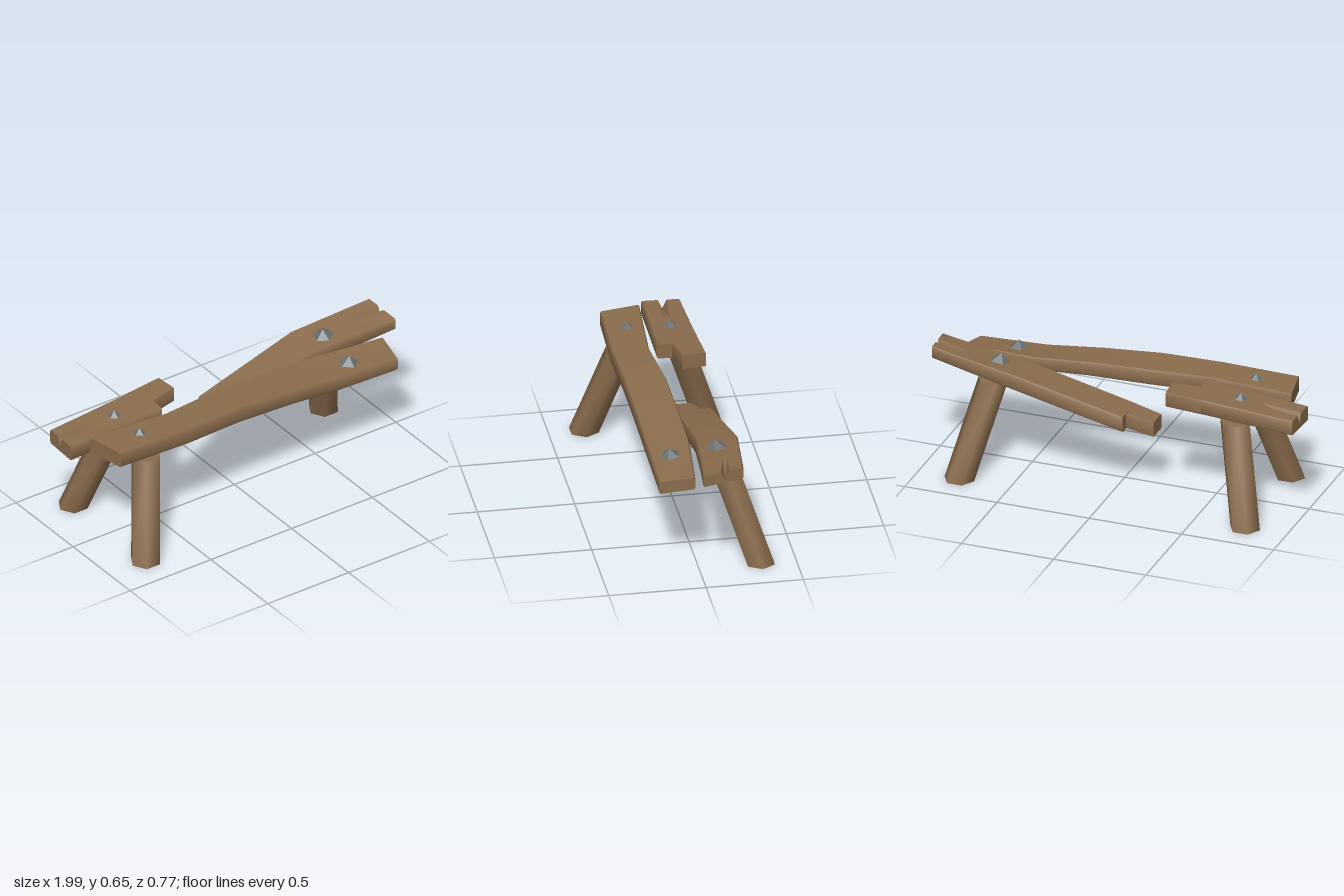
import * as THREE from 'three';
import { toCreasedNormals } from 'three/addons/utils/BufferGeometryUtils.js';

const wood = new THREE.MeshStandardMaterial({ color: 0x8b6d4d });
wood.name = 'weathered wood';
const iron = new THREE.MeshStandardMaterial({ color: 0x697072 });
iron.name = 'grey iron';

// Plank lofted along x. Each station: [xBack, xFront, zBack, zFront, bottomBack, bottomFront, height, crackDepth]
function plank(name, stations) {
  // Cross-section: across (0 back, 1 front), up (0..1), share of crack depth
  const section = [
    [0.46, 0, 0], [0.03, 0, 0], [0, 0.15, 0], [0, 0.85, 0], [0.03, 1, 0], [0.35, 1, 0],
    [0.46, 1, 1], [0.57, 1, 0], [0.97, 1, 0], [1, 0.85, 0], [1, 0.15, 0], [0.97, 0, 0],
  ];
  const n = section.length, last = stations.length - 1;
  const pos = [], index = [];
  const mix = THREE.MathUtils.lerp;
  for (const [xb, xf, zb, zf, yb, yf, h, crack = 0] of stations) {
    for (const [t, s, c] of section) {
      pos.push(mix(xb, xf, t), mix(yb, yf, t) + s * h - c * crack, mix(zb, zf, t));
    }
  }
  for (let k = 0; k < last; k++) {
    for (let i = 0; i < n; i++) {
      const j = (i + 1) % n;
      const a = k * n + i, d = k * n + j, b = a + n, c = d + n;
      index.push(a, d, c, a, c, b);
    }
  }
  // End caps
  for (let i = 1; i < n - 1; i++) {
    index.push(0, i + 1, i);
    index.push(last * n, last * n + i, last * n + i + 1);
  }
  const g = new THREE.BufferGeometry();
  g.setAttribute('position', new THREE.Float32BufferAttribute(pos, 3));
  g.setIndex(index);
  const mesh = new THREE.Mesh(toCreasedNormals(g, 0.9), wood);
  mesh.name = name;
  return mesh;
}

// Six-sided leg, sheared outward so that both ends stay level
function leg(name, sx, sz) {
  const height = 0.51;
  const g = new THREE.CylinderGeometry(0.08, 0.08, height, 6, 1, false, Math.PI / 2);
  g.translate(0, height / 2, 0);
  const p = g.attributes.position;
  for (let i = 0; i < p.count; i++) {
    const t = p.getY(i) / height;
    p.setX(i, p.getX(i) + sx * (0.775 - 0.12 * t));
    p.setZ(i, p.getZ(i) + sz * (0.317 - 0.167 * t));
  }
  const mesh = new THREE.Mesh(toCreasedNormals(g, 1.1), wood);
  mesh.name = name;
  return mesh;
}

// Five-sided pointed nail head
function nail(name, x, y, z, r, h, tiltX = 0, tiltZ = 0) {
  const g = new THREE.ConeGeometry(r, h + 0.015, 5).toNonIndexed();
  g.computeVertexNormals();
  g.translate(0, (h - 0.015) / 2, 0);
  const mesh = new THREE.Mesh(g, iron);
  mesh.name = name;
  mesh.position.set(x, y, z);
  mesh.rotation.set(tiltX, 0, tiltZ);
  return mesh;
}

export function createModel() {
  const model = new THREE.Group();
  model.name = 'brokenBench';

  // Whole, sagging front plank
  model.add(plank('frontPlank', [
    [-0.9, -0.86, 0.01, 0.22, 0.542, 0.542, 0.083],
    [-0.45, -0.45, 0.04, 0.235, 0.54, 0.54, 0.084],
    [-0.12, -0.12, 0.01, 0.225, 0.54, 0.54, 0.083],
    [0.2, 0.2, 0.005, 0.22, 0.535, 0.522, 0.075],
    [0.5, 0.5, 0, 0.215, 0.518, 0.493, 0.07],
    [0.89, 0.86, 0.035, 0.215, 0.51, 0.482, 0.066],
  ]));

  // Left half of the snapped back plank, with its splintered tongue
  model.add(plank('backPlankLeft', [
    [-0.99, -1, -0.215, -0.015, 0.51, 0.51, 0.08, 0.05],
    [-0.78, -0.78, -0.218, -0.01, 0.525, 0.525, 0.08],
    [-0.44, -0.45, -0.225, 0, 0.55, 0.55, 0.08],
  ]));
  model.add(plank('backPlankLeftTongue', [
    [-0.5, -0.5, -0.224, -0.07, 0.546, 0.546, 0.08],
    [-0.31, -0.3, -0.23, -0.105, 0.56, 0.56, 0.08],
  ]));

  // Right half of the snapped back plank, fallen in the middle
  model.add(plank('backPlankRight', [
    [-0.07, -0.07, -0.215, -0.03, 0.365, 0.365, 0.083],
    [0.52, 0.5, -0.246, -0.033, 0.516, 0.5, 0.082],
    [0.8, 0.8, -0.217, -0.008, 0.563, 0.543, 0.07],
    [0.97, 0.99, -0.198, 0.012, 0.592, 0.57, 0.063, 0.05],
  ]));
  model.add(plank('backPlankRightTongue', [
    [-0.21, -0.21, -0.142, -0.03, 0.33, 0.33, 0.08],
    [-0.02, -0.02, -0.17, -0.03, 0.377, 0.377, 0.082],
  ]));

  // Three legs; the front one on the model's left is missing
  model.add(leg('frontRightLeg', -1, 1));
  model.add(leg('backRightLeg', -1, -1));
  model.add(leg('backLeftLeg', 1, -1));

  // Nail heads
  model.add(nail('nailFrontRight', -0.67, 0.622, 0.115, 0.052, 0.033));
  model.add(nail('nailFrontLeft', 0.62, 0.568, 0.12, 0.075, 0.042, 0.13, -0.03));
  model.add(nail('nailBackRight', -0.67, 0.613, -0.105, 0.05, 0.033, 0, 0.07));
  model.add(nail('nailBackLeft', 0.63, 0.606, -0.115, 0.07, 0.037, 0.1, 0.15));

  return model;
}
